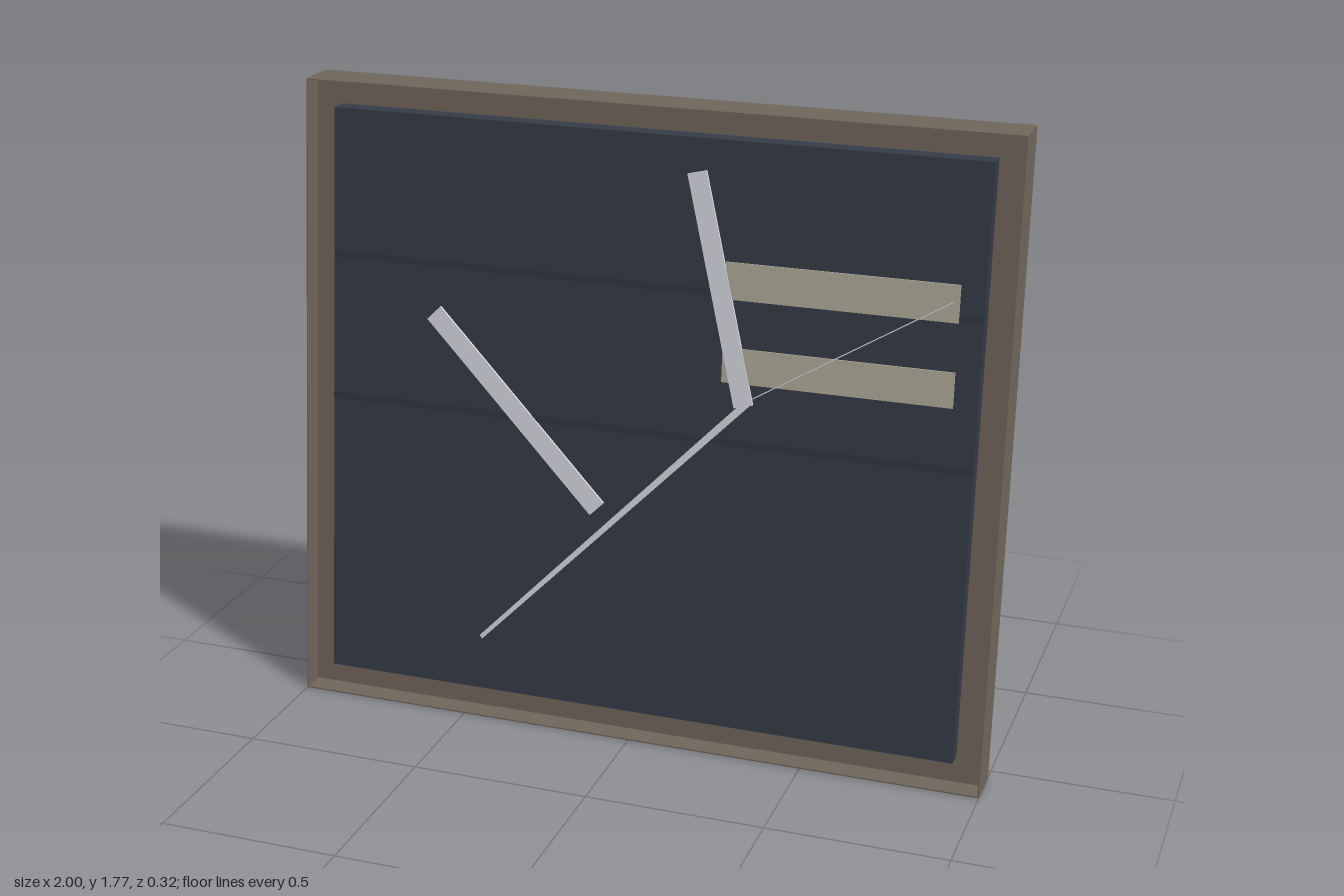
import * as THREE from 'three';

const mat = (name, color) => {
  const m = new THREE.MeshStandardMaterial({ color });
  m.name = name;
  return m;
};

const H = 1.775, SLOPE = 0.1045, FOOT = 0.10, HALF = 0.061;
const FACE = 0.048; // half thickness of the board
const centreZ = (y) => FOOT - SLOPE * y;

// Leans upright geometry back by sliding each vertex along z by its height
function lean(geo) {
  const p = geo.attributes.position;
  for (let i = 0; i < p.count; i++) p.setZ(i, p.getZ(i) + centreZ(p.getY(i)));
  geo.computeVertexNormals();
  return geo;
}

// Box given by its limits on each axis
function box(x0, x1, y0, y1, z0, z1) {
  return new THREE.BoxGeometry(x1 - x0, y1 - y0, z1 - z0)
    .translate((x0 + x1) / 2, (y0 + y1) / 2, (z0 + z1) / 2);
}

export function createModel() {
  const group = new THREE.Group();
  const wood = mat('greyBrownWood', 0x72685c);
  const slate = mat('darkSlate', 0x353b48);
  const seam = mat('seamSlate', 0x313743);
  const backing = mat('backingGrey', 0xa3a6ad);
  const white = mat('paleWhite', 0xdadde5);
  const cream = mat('cream', 0xb3ad9b);
  const brown = mat('brownBlock', 0x77553f);
  const grey = mat('boxGrey', 0x62676d);

  const add = (name, geo, material) => {
    const m = new THREE.Mesh(geo, material);
    m.name = name;
    group.add(m);
    return m;
  };

  // Thin outer walls of the frame
  const T = 0.004;
  for (const s of [-1, 1])
    add('frameSide', lean(box(s - (s > 0 ? T : 0), s + (s < 0 ? T : 0), 0, H, -HALF, HALF)), wood);
  add('frameBottom', lean(box(-1 + T, 1 - T, 0, T, -HALF, HALF)), wood);
  add('frameTop', lean(box(-1 + T, 1 - T, H - T, H, -HALF, HALF)), wood);

  // Web between the walls, recessed on both sides
  add('frameWeb', lean(box(-1 + T, 1 - T, T, H - T, -0.005, -0.001)), wood);

  // Board: dark in front, grey behind
  add('boardFront', lean(box(-0.92, 0.92, 0.08, 1.70, -0.001, FACE)), slate);
  add('boardBack', lean(box(-0.92, 0.92, 0.08, 1.70, -FACE, -0.005)), backing);
  for (const y of [0.89, 1.295])
    add('boardSeam', lean(box(-0.92, 0.92, y - 0.01, y + 0.01, FACE, FACE + 0.0015)), seam);

  // Cream stripes
  for (const [y0, y1] of [[1.28, 1.38], [1.055, 1.15]])
    add('creamStripe', lean(box(0.225, 0.855, y0, y1, FACE, FACE + 0.004)), cream);

  // Slanted strokes: start, end, width at each end, thickness
  const stroke = (name, ax, ay, bx, by, wa, wb, depth) => {
    const len = Math.hypot(bx - ax, by - ay);
    const nx = -(by - ay) / len / 2, ny = (bx - ax) / len / 2;
    const s = new THREE.Shape([
      new THREE.Vector2(ax - nx * wa, ay - ny * wa),
      new THREE.Vector2(bx - nx * wb, by - ny * wb),
      new THREE.Vector2(bx + nx * wb, by + ny * wb),
      new THREE.Vector2(ax + nx * wa, ay + ny * wa),
    ]);
    const geo = new THREE.ExtrudeGeometry(s, { depth, bevelEnabled: false });
    add(name, lean(geo.translate(0, 0, FACE)), white);
  };
  stroke('leftStroke', -0.613, 1.158, -0.117, 0.657, 0.055, 0.055, 0.006);
  stroke('upperStroke', 0.135, 1.61, 0.29, 0.995, 0.054, 0.054, 0.007);
  stroke('longStroke', -0.455, 0.235, 0.30, 1.005, 0.012, 0.02, 0.006);
  stroke('hairline', 0.30, 1.01, 0.84, 1.335, 0.002, 0.002, 0.006);

  // Corner blocks reaching back to one vertical plane; the lower ones pierce the web
  for (const s of [-1, 1]) {
    const x0 = s * 0.82 - 0.08, x1 = s * 0.82 + 0.08;
    add('lowerBlock', box(x0, x1, 0.06, 0.22, -0.16, 0.10), brown);
    add('upperBlock', box(x0, x1, 1.56, 1.72, -0.16, -0.085), brown);
  }

  // Grey box beside the lower left block
  add('rearBox', box(0.31, 0.68, 0.053, 0.275, -0.087, 0.06), grey);

  return group;
}
